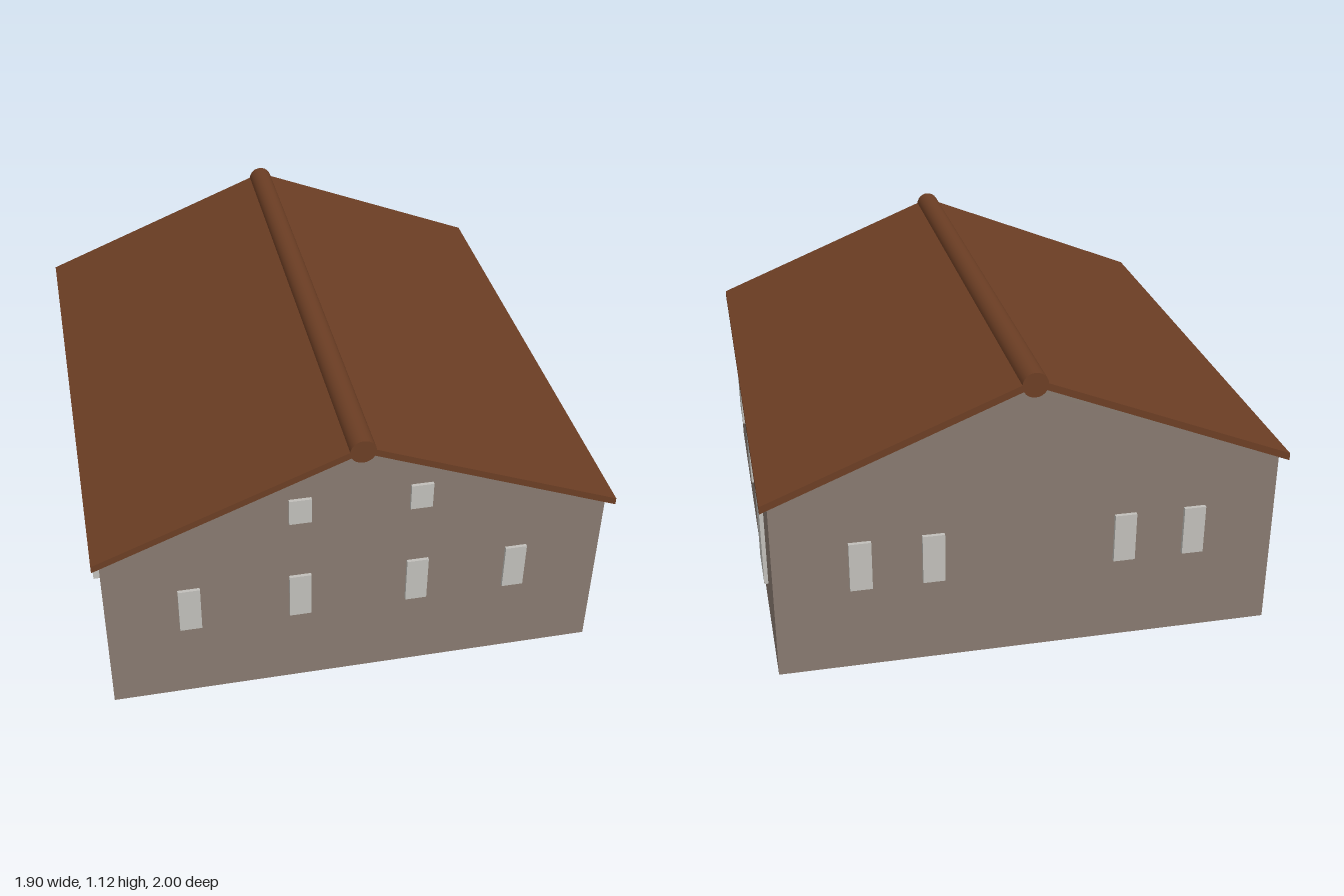
import * as THREE from 'three';

export function createModel() {
  const house = new THREE.Group();
  house.name = 'house';

  const wallMat = new THREE.MeshStandardMaterial({ color: 0x887a70, side: THREE.DoubleSide });
  wallMat.name = 'taupe plaster';
  const roofMat = new THREE.MeshStandardMaterial({ color: 0x6c3e24 });
  roofMat.name = 'brown roofing';
  const paneMat = new THREE.MeshStandardMaterial({ color: 0xc1bfba });
  paneMat.name = 'pale grey';

  const W = 0.9175, D = 0.963, EAVE = 0.70, ROOF_D = 0.993;

  // The plan is very slightly out of square
  const skew = new THREE.Matrix4().set(
    1, 0, 0.005, 0,
    0, 1, 0, 0,
    0.0065, 0, 1, 0,
    0, 0, 0, 1);

  function add(name, geometry, material) {
    geometry.applyMatrix4(skew);
    geometry.computeVertexNormals();
    const mesh = new THREE.Mesh(geometry, material);
    mesh.name = name;
    house.add(mesh);
  }

  const outline = (points) => new THREE.Shape(points.map(([x, y]) => new THREE.Vector2(x, y)));

  // Thin outer walls, open underneath
  const gable = outline([[-W, 0], [W, 0], [W, EAVE], [0.04, 1.055], [-0.04, 1.055], [-W, EAVE]]);
  add('frontWall', new THREE.ShapeGeometry(gable).translate(0, 0, D), wallMat);
  add('backWall', new THREE.ShapeGeometry(gable).rotateY(Math.PI).translate(0, 0, -D), wallMat);
  for (const s of [1, -1]) {
    const side = new THREE.PlaneGeometry(2 * D, EAVE).rotateY(s * Math.PI / 2).translate(s * W, EAVE / 2, 0);
    add(s > 0 ? 'leftWall' : 'rightWall', side, wallMat);
  }

  // Pitched roof slab
  const roof = outline([
    [-0.945, 0.688], [-0.04, 1.055], [0.04, 1.055], [0.945, 0.688],
    [0.945, 0.716], [0.04, 1.082], [-0.04, 1.082], [-0.945, 0.716],
  ]);
  add('roof', new THREE.ExtrudeGeometry(roof, { depth: 2 * ROOF_D, bevelEnabled: false }).translate(0, 0, -ROOF_D), roofMat);

  // Rounded ridge cap
  add('ridgeCap', new THREE.CylinderGeometry(0.046, 0.046, 2 * ROOF_D, 24).rotateX(Math.PI / 2).translate(0, 1.077, 0), roofMat);

  // Shallow boxes standing proud of the front and back walls
  function endPane(name, x, y0, y1, s, out) {
    const box = new THREE.BoxGeometry(0.08, y1 - y0, out + 0.004);
    add(name, box.translate(x, (y0 + y1) / 2, s * (D + out / 2 + 0.002)), paneMat);
  }
  for (const x of [-0.615, -0.212, 0.222, 0.594]) endPane('frontWindow', x, 0.33, 0.52, 1, 0.008);
  for (const x of [-0.212, 0.222]) endPane('atticWindow', x, 0.775, 0.88, 1, 0.008);
  for (const x of [-0.61, -0.35, 0.35, 0.61]) endPane('backWindow', x, 0.33, 0.52, -1, 0.01);

  // Two windows and a door on each long side
  function sidePane(name, z, y0, y1, width, s, out) {
    const box = new THREE.BoxGeometry(out, y1 - y0, width);
    add(name, box.translate(s * (W + out / 2), (y0 + y1) / 2, z), paneMat);
  }
  for (const [s, out, z1, z2, zDoor] of [[1, 0.015, 0.485, -0.045, -0.535], [-1, 0.024, 0.56, 0.03, -0.465]]) {
    sidePane('sideWindow', z1, 0.33, 0.525, 0.175, s, out);
    sidePane('sideWindow', z2, 0.33, 0.525, 0.175, s, out);
    sidePane('sideDoor', zDoor, 0.175, 0.525, 0.2, s, out);
  }

  return house;
}
